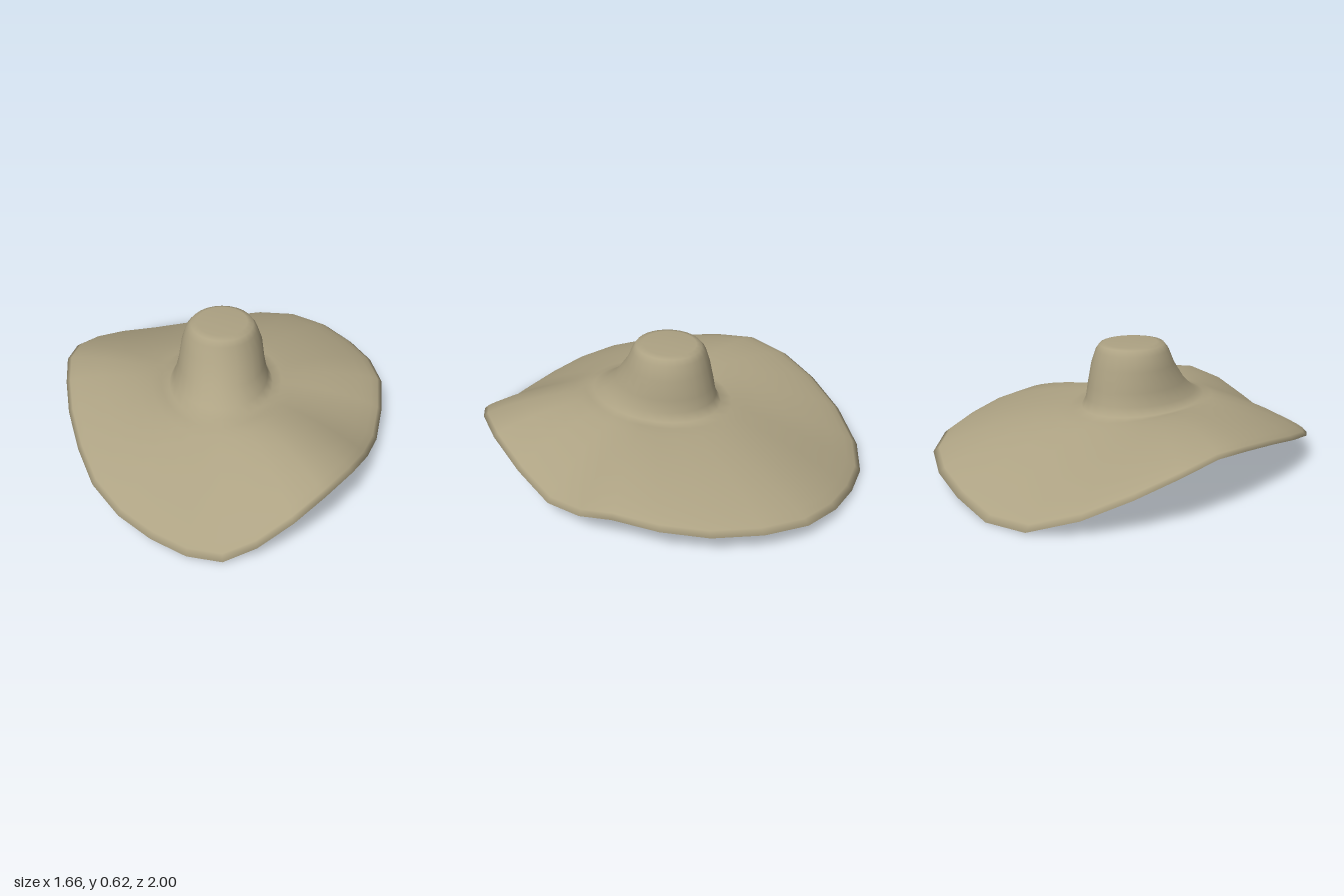
import * as THREE from 'three';

// Wavy brim edge: [x, y, z], from the back round by the left side (+x)
const RIM = [
  [0, 0.04, -1], [0.22, 0.08, -0.98], [0.42, 0.11, -0.91], [0.59, 0.13, -0.76],
  [0.72, 0.14, -0.56], [0.8, 0.16, -0.35], [0.83, 0.172, -0.13], [0.81, 0.115, 0.05],
  [0.76, 0.085, 0.25], [0.68, 0.15, 0.46], [0.58, 0.225, 0.66], [0.44, 0.22, 0.82],
  [0.3, 0.16, 0.92], [0.14, 0.07, 0.98], [-0.01, 0.005, 1], [-0.17, 0.01, 0.97],
  [-0.33, 0.045, 0.9], [-0.48, 0.09, 0.8], [-0.61, 0.14, 0.65], [-0.7, 0.19, 0.45],
  [-0.77, 0.24, 0.23], [-0.81, 0.27, 0.02], [-0.83, 0.285, -0.17], [-0.81, 0.24, -0.37],
  [-0.74, 0.17, -0.56], [-0.62, 0.085, -0.75], [-0.44, 0.01, -0.91], [-0.23, 0, -0.985],
];

// Crown levels: [y, right x, left x, back z, front z], top to base
const CROWN = [
  [0.62, -0.02, -0.02, -0.015, -0.015],
  [0.616, -0.14, 0.11, -0.15, 0.12],
  [0.608, -0.17, 0.14, -0.175, 0.155],
  [0.58, -0.195, 0.16, -0.195, 0.175],
  [0.51, -0.218, 0.186, -0.218, 0.205],
  [0.41, -0.235, 0.2, -0.243, 0.275],
  [0.345, -0.255, 0.215, -0.255, 0.345],
  [0.31, -0.28, 0.24, -0.28, 0.4],
];
const BASE = CROWN.length - 1;
const BRIM_STEPS = [0.08, 0.18, 0.32, 0.48, 0.64, 0.8, 0.9, 0.96];
const N = RIM.length;

// Point on a crown level, shrunk by inset for the lining
function crownPoint(level, i, inset) {
  const [y, x0, x1, z0, z1] = CROWN[level];
  const [rx, , rz] = RIM[i];
  const a = Math.atan2(rz, rx / 0.83);
  const shrink = level === 0 ? 0 : inset;
  const tilt = level === BASE ? 0.012 * Math.sin(a) : 0;
  return [
    (x0 + x1) / 2 + ((x1 - x0) / 2 - shrink) * Math.cos(a),
    y + tilt - inset,
    (z0 + z1) / 2 + ((z1 - z0) / 2 - shrink) * Math.sin(a),
  ];
}

// Point between crown base (t = 0) and rim (t = 1), arched and curling down at the edge
function brimPoint(t, i, drop) {
  const b = crownPoint(BASE, i, 0);
  const p = b.map((v, k) => v + (RIM[i][k] - v) * t);
  p[1] += 0.1 * Math.pow(t, 0.8) * Math.pow(1 - t, 0.6) - drop;
  return p;
}

export function createModel() {
  const group = new THREE.Group();
  const felt = new THREE.MeshStandardMaterial({ color: 0xada283 });
  felt.name = 'khaki felt';

  // Rings run from the crown top out to the rim, then back under to the lining top
  const rings = [];
  const addRing = (fn) => rings.push(RIM.map((_, i) => fn(i)));
  CROWN.forEach((_, l) => addRing((i) => crownPoint(l, i, 0)));
  BRIM_STEPS.forEach((t) => addRing((i) => brimPoint(t, i, 0)));
  addRing((i) => RIM[i]);
  const rimRing = rings.length - 1;
  [...BRIM_STEPS].reverse().forEach((t) => addRing((i) => brimPoint(t, i, 0.018)));
  const liningBase = rings.length;
  for (let l = BASE; l >= 0; l--) addRing((i) => crownPoint(l, i, 0.018));

  // Faces between two rings of the shell
  const faces = (from, to) => {
    const index = [];
    for (let r = from; r < to; r++) {
      for (let i = 0; i < N; i++) {
        const j = (i + 1) % N;
        const a = r * N + i, b = r * N + j, c = a + N, d = b + N;
        if (r > 0) index.push(a, b, c);
        if (r < rings.length - 2) index.push(b, d, c);
        else index.push(a, b, c);
        if (r === 0) index.push(a, d, c);
      }
    }
    return index;
  };

  // One smooth shell supplies shared normals, so the parts join without seams
  const shell = new THREE.BufferGeometry();
  shell.setAttribute('position', new THREE.Float32BufferAttribute(rings.flat(2), 3));
  shell.setIndex(faces(0, rings.length - 1));
  shell.computeVertexNormals();
  // The poles point straight up (crown) and down (lining)
  const normal = shell.attributes.normal;
  for (let i = 0; i < N; i++) {
    normal.setXYZ(i, 0, 1, 0);
    normal.setXYZ((rings.length - 1) * N + i, 0, -1, 0);
  }

  const addPart = (name, from, to) => {
    const g = new THREE.BufferGeometry();
    g.setAttribute('position', shell.attributes.position);
    g.setAttribute('normal', normal);
    g.setIndex(faces(from, to));
    const mesh = new THREE.Mesh(g, felt);
    mesh.name = name;
    group.add(mesh);
  };
  addPart('crown', 0, BASE);
  addPart('brimTop', BASE, rimRing);
  addPart('brimUnderside', rimRing, liningBase);
  addPart('crownLining', liningBase, rings.length - 1);

  group.name = 'floppyHat';
  return group;
}
